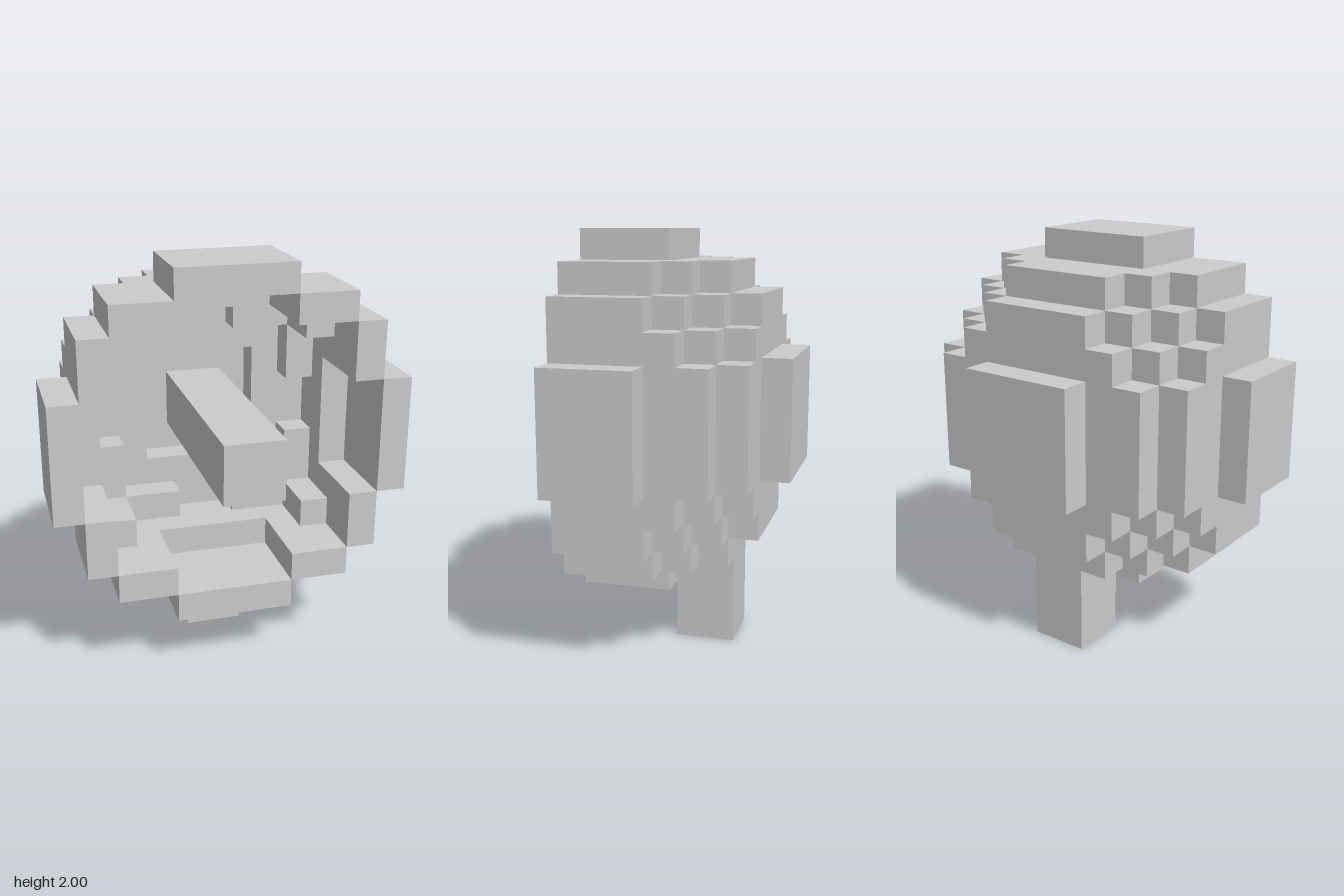
import * as THREE from 'three';
import { mergeGeometries } from 'three/addons/utils/BufferGeometryUtils.js';

const U = 1 / 7;           // edge of one block
const CY = 8, CZ = 1.5;    // centre of the bowl, in blocks

// A block belongs to the bowl when its centre lies between two spheres, cut off at the open front
function inBowl(x, y, z) {
  const r2 = x * x + y * y + z * z;
  return z < 1 && r2 <= 36 && r2 > 25;
}

// One outward-facing square for each of the six sides of a block
const sides = [
  [1, 0, 0], [-1, 0, 0], [0, 1, 0], [0, -1, 0], [0, 0, 1], [0, 0, -1],
].map((d) => {
  const plane = new THREE.PlaneGeometry(1, 1);
  if (d[0]) plane.rotateY(d[0] * Math.PI / 2);
  if (d[1]) plane.rotateX(-d[1] * Math.PI / 2);
  if (d[2] < 0) plane.rotateY(Math.PI);
  return { d, plane: plane.translate(d[0] / 2, d[1] / 2, d[2] / 2) };
});

// Stepped half-sphere shell: only the exposed block sides are kept
function bowlGeometry() {
  const faces = [];
  for (let x = -5.5; x < 6; x++)
    for (let y = -5.5; y < 6; y++)
      for (let z = -5.5; z < 1; z++) {
        if (!inBowl(x, y, z)) continue;
        for (const { d, plane } of sides)
          if (!inBowl(x + d[0], y + d[1], z + d[2]))
            faces.push(plane.clone().translate(x, y + CY, z + CZ));
      }
  return mergeGeometries(faces).scale(U, U, U);
}

// Box from its corner limits, in blocks
function block([x0, x1], [y0, y1], [z0, z1]) {
  return new THREE.BoxGeometry((x1 - x0) * U, (y1 - y0) * U, (z1 - z0) * U)
    .translate((x0 + x1) * U / 2, (y0 + y1) * U / 2, (z0 + z1) * U / 2);
}

export function createModel() {
  const model = new THREE.Group();
  const material = new THREE.MeshStandardMaterial({ color: 0xcccccc, flatShading: true });
  const add = (name, geometry) => {
    const mesh = new THREE.Mesh(geometry, material);
    mesh.name = name;
    model.add(mesh);
  };

  add('dishBowl', bowlGeometry());
  // Rod from the inner back wall out through the opening
  add('centreRod', block([-1, 1], [7, 9], [-3.5, 4.5]));
  // Post under the rear of the bowl
  add('supportPost', block([-1, 1], [0, 3], [-2.5, -0.5]));

  return model;
}
